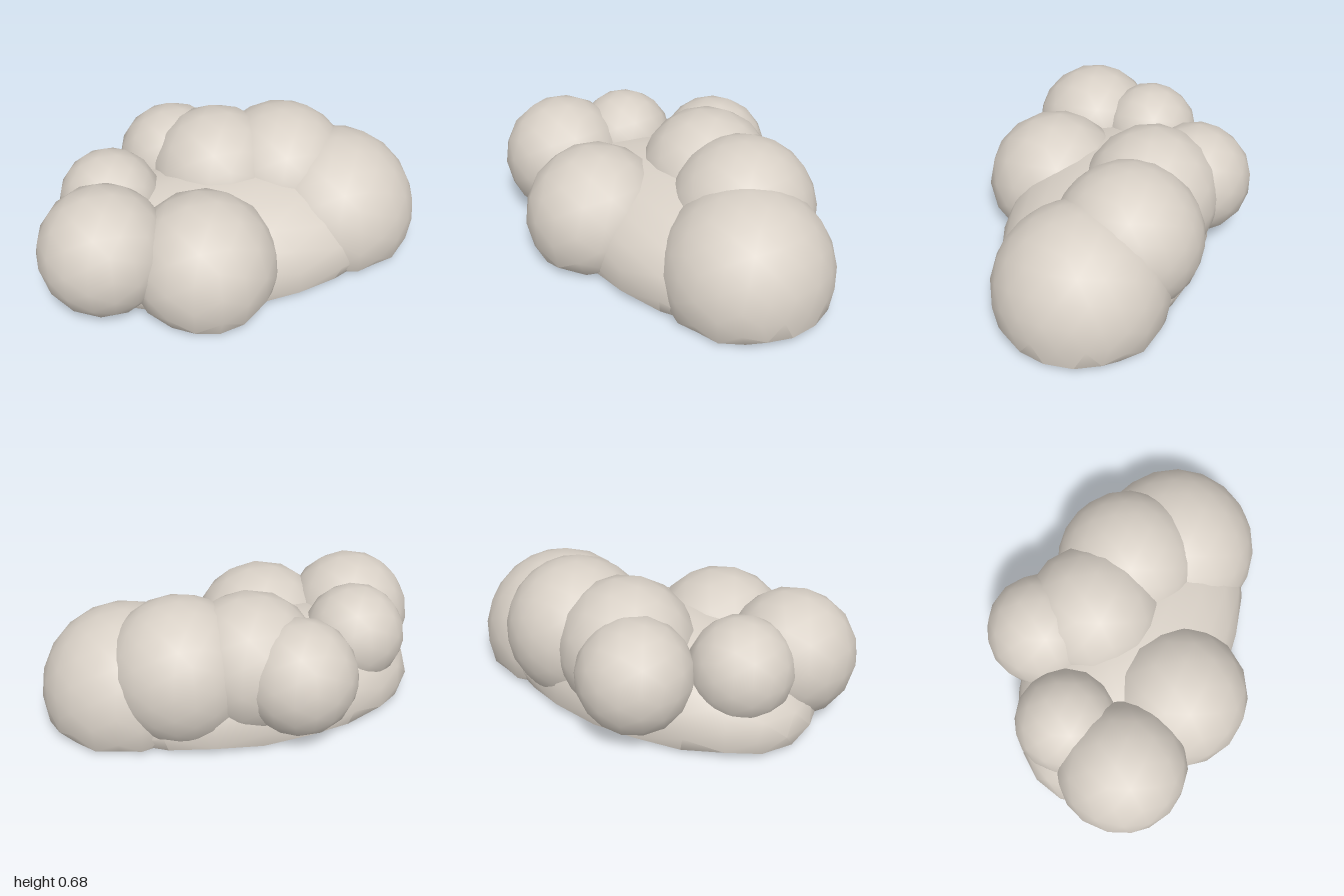
import * as THREE from 'three';
import { toCreasedNormals } from 'three/addons/utils/BufferGeometryUtils.js';

const FLOOR = 0.018; // height below which every puff is pressed flat

// Low-poly ball, scaled and placed, with its underside pressed almost flat
function puffGeometry([x, y, z], [rx, ry, rz], detail) {
  const geo = new THREE.IcosahedronGeometry(1, detail);
  geo.scale(rx, ry, rz).translate(x, y, z);
  const pos = geo.attributes.position;
  for (let i = 0; i < pos.count; i++) {
    const h = pos.getY(i);
    if (h < FLOOR) pos.setY(i, Math.max(0, FLOOR + (h - FLOOR) * 0.06));
  }
  return toCreasedNormals(geo, 0.75);
}

export function createModel() {
  const group = new THREE.Group();
  group.name = 'cloud';
  const paleStone = new THREE.MeshStandardMaterial({ color: 0xd8d0c6 });
  paleStone.name = 'paleStone';

  // name, centre, radii, subdivision
  const puffs = [
    ['base', [-0.01, 0.1, 0.0], [0.91, 0.38, 0.52], 3],
    ['leftPuff', [0.57, 0.15, 0.0], [0.43, 0.43, 0.43], 3],
    ['backLeftPuff', [0.33, 0.31, -0.175], [0.37, 0.37, 0.37], 3],
    ['middlePuff', [-0.01, 0.335, -0.22], [0.35, 0.35, 0.35], 2],
    ['backPuff', [-0.2, 0.335, -0.415], [0.287, 0.287, 0.287], 2],
    ['backRightPuff', [-0.59, 0.35, -0.1], [0.257, 0.257, 0.257], 2],
    ['rightPuff', [-0.68, 0.305, 0.235], [0.322, 0.322, 0.322], 2],
    ['frontPuff', [-0.215, 0.2, 0.335], [0.366, 0.366, 0.366], 2],
  ];
  for (const [name, centre, radii, detail] of puffs) {
    const mesh = new THREE.Mesh(puffGeometry(centre, radii, detail), paleStone);
    mesh.name = name;
    group.add(mesh);
  }
  return group;
}
